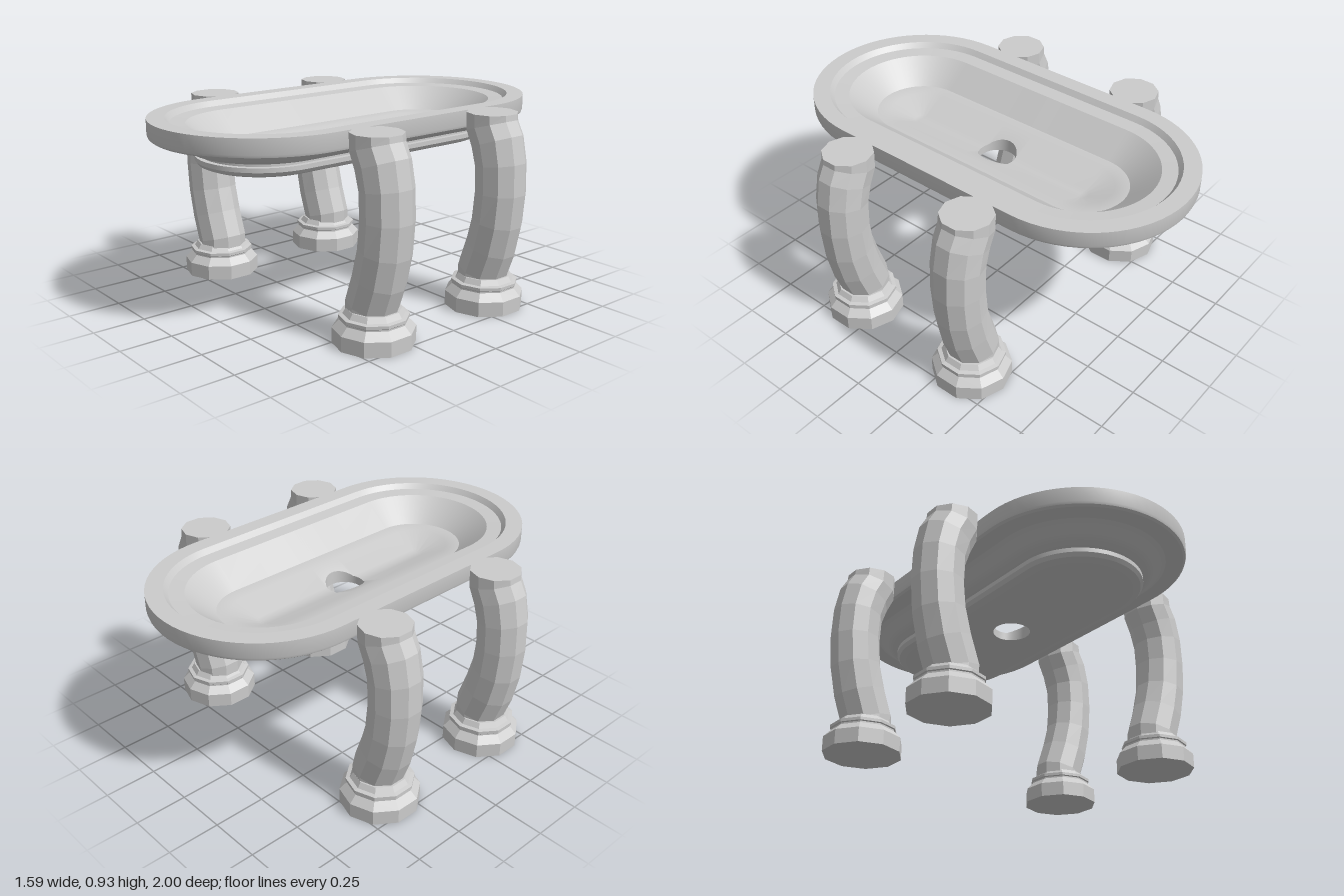
import * as THREE from 'three';
import { toCreasedNormals } from 'three/addons/utils/BufferGeometryUtils.js';

const HALF = 0.485;   // half length of the straight sides of the tray
const DRAIN = 0.092;  // drain hole radius
const material = new THREE.MeshStandardMaterial({ color: 0xcccccc });
const facetMaterial = new THREE.MeshStandardMaterial({ color: 0xcccccc, flatShading: true });

// Stadium outline: each sample has a centre z, an outward direction and
// the radius at which the drain hole cuts it.
function outlineSamples() {
  const side = [-HALF];
  for (let k = -12; k <= 12; k++) side.push(DRAIN * Math.sin((k / 12) * Math.PI / 2));
  side.push(HALF);
  const samples = [];
  for (const s of [1, -1]) {
    for (const z of side) {
      samples.push({ z: z * s, nx: s, nz: 0, hole: Math.sqrt(Math.max(0, DRAIN * DRAIN - z * z)) });
    }
    for (let k = 1; k < 32; k++) {
      const a = (k / 32) * Math.PI;
      samples.push({ z: HALF * s, nx: s * Math.cos(a), nz: s * Math.sin(a), hole: 0 });
    }
  }
  return samples;
}

// Profile points [r, y] running inward, stopped at the drain hole
function clipProfile(profile, hole) {
  let last = profile[0];
  return profile.map(([r, y]) => {
    if (r >= hole) last = [r, y];
    else if (last[0] > hole) {
      const t = (last[0] - hole) / (last[0] - r);
      last = [hole, last[1] + (y - last[1]) * t];
    }
    return last;
  });
}

// Skin between neighbouring columns of points
function skin(columns, flip, out) {
  const tri = (a, b, c) => {
    if (a.distanceTo(b) < 1e-5 || b.distanceTo(c) < 1e-5 || c.distanceTo(a) < 1e-5) return;
    for (const p of flip ? [a, c, b] : [a, b, c]) out.push(p.x, p.y, p.z);
  };
  columns.forEach((col, i) => {
    const next = columns[(i + 1) % columns.length];
    for (let j = 0; j < col.length - 1; j++) {
      tri(col[j], col[j + 1], next[j]);
      tri(next[j], col[j + 1], next[j + 1]);
    }
  });
}

function createTray() {
  const top = [[0.515, 0.93], [0.435, 0.93], [0.415, 0.905], [0.345, 0.9],
    [0.215, 0.795], [0.15, 0.79], [0.035, 0.735], [0, 0.735]];
  const under = [[0.515, 0.93], [0.515, 0.86], [0.511, 0.848], [0.5, 0.84], [0.42, 0.838],
    [0.39, 0.82], [0.36, 0.795], [0.33, 0.778], [0.285, 0.772], [0.285, 0.756], [0.31, 0.756],
    [0.31, 0.735], [0.297, 0.718], [0.27, 0.707], [0.2, 0.7], [0, 0.695]];
  const samples = outlineSamples();
  const columns = (profile) => samples.map((s) => clipProfile(profile, s.hole)
    .map(([r, y]) => new THREE.Vector3(s.nx * r, y, s.z + s.nz * r)));
  const topCols = columns(top), underCols = columns(under);
  const out = [];
  skin(topCols, false, out);
  skin(underCols, true, out);
  // wall of the drain hole
  skin(topCols.map((c, i) => [c.at(-1), underCols[i].at(-1)]), false, out);
  const geometry = new THREE.BufferGeometry();
  geometry.setAttribute('position', new THREE.Float32BufferAttribute(out, 3));
  const mesh = new THREE.Mesh(toCreasedNormals(geometry, 0.5), material);
  mesh.name = 'tray';
  return mesh;
}

// Bowed ten-sided leg: rings tilt with the curve, the ends stay level
function createLegGeometry() {
  const path = [[0.595, 0.14], [0.595, 0.175], [0.64, 0.3], [0.672, 0.43], [0.685, 0.57],
    [0.68, 0.7], [0.655, 0.8], [0.62, 0.87], [0.617, 0.93]];
  const n = path.length - 1, sides = 10;
  const geometry = new THREE.CylinderGeometry(0.118, 0.118, 1, sides, n);
  const pos = geometry.attributes.position;
  for (let i = 0; i < pos.count; i++) {
    const k = Math.round((pos.getY(i) + 0.5) * n);
    const [cx, cy] = path[k];
    let slope = 0;
    if (k > 0 && k < n) slope = (path[k + 1][0] - path[k - 1][0]) / (path[k + 1][1] - path[k - 1][1]);
    pos.setXYZ(i, cx + pos.getX(i), cy - slope * pos.getX(i), pos.getZ(i));
  }
  return geometry;
}

// Stepped ten-sided foot
function createFootGeometry() {
  const profile = [[0, 0], [0.185, 0], [0.185, 0.07], [0.152, 0.105], [0.152, 0.112],
    [0.157, 0.116], [0.157, 0.13], [0.138, 0.134], [0.122, 0.158], [0, 0.158]];
  return new THREE.LatheGeometry(profile.map(([x, y]) => new THREE.Vector2(x, y)), 10);
}

export function createModel() {
  const model = new THREE.Group();
  model.name = 'footedTray';
  model.add(createTray());

  const legGeometry = createLegGeometry();
  const footGeometry = createFootGeometry();
  for (const [side, turn] of [['left', 0], ['right', Math.PI]]) {
    for (const [end, z] of [['front', 0.347], ['back', -0.347]]) {
      const leg = new THREE.Group();
      leg.name = end + (side === 'left' ? 'Left' : 'Right') + 'Leg';
      const shaft = new THREE.Mesh(legGeometry, facetMaterial);
      shaft.name = 'shaft';
      const foot = new THREE.Mesh(footGeometry, facetMaterial);
      foot.name = 'foot';
      foot.position.x = 0.606;
      leg.add(shaft, foot);
      leg.rotation.y = turn;
      leg.position.z = z;
      model.add(leg);
    }
  }
  return model;
}
